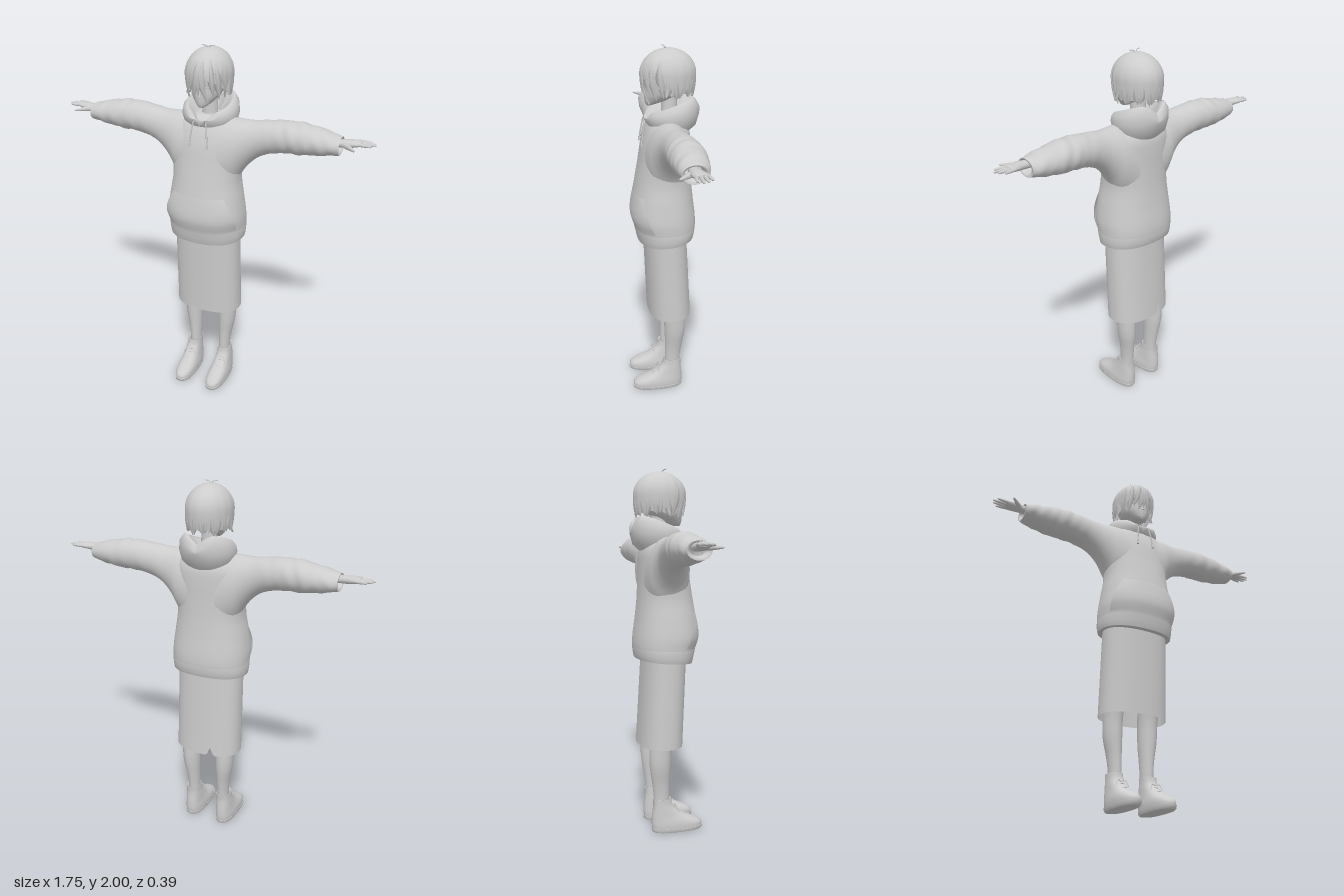
import * as THREE from 'three';

const grey = new THREE.MeshStandardMaterial({ color: 0xcccccc, side: THREE.DoubleSide });
grey.name = 'plain grey';

const TAU = Math.PI * 2;
const lerp = THREE.MathUtils.lerp;

function add(parent, name, geometry) {
  const m = new THREE.Mesh(geometry, grey);
  m.name = name;
  parent.add(m);
  return m;
}

// Skin a list of cross-sections; caps get their own vertices so rims stay sharp
function loft(rings, { closed = true, start = false, end = false } = {}) {
  const n = rings[0].length, pos = rings.flat(2), idx = [];
  const spans = closed ? n : n - 1;
  for (let i = 0; i < rings.length - 1; i++) for (let j = 0; j < spans; j++) {
    const a = i * n + j, b = i * n + (j + 1) % n;
    idx.push(a, a + n, b, b, a + n, b + n);
  }
  const cap = (ring, flip) => {
    const o = pos.length / 3;
    pos.push(...ring.flat());
    pos.push(...[0, 1, 2].map(k => ring.reduce((s, p) => s + p[k], 0) / n));
    for (let j = 0; j < n; j++) {
      const a = o + j, b = o + (j + 1) % n;
      flip ? idx.push(a, b, o + n) : idx.push(b, a, o + n);
    }
  };
  if (start) cap(rings[0], true);
  if (end) cap(rings[rings.length - 1], false);
  const g = new THREE.BufferGeometry();
  g.setAttribute('position', new THREE.Float32BufferAttribute(pos, 3));
  g.setIndex(idx);
  g.computeVertexNormals();
  return g;
}

const loop = (n, f) => Array.from({ length: n }, (_, j) => f(j / n * TAU, j));
const steps = (n, f) => Array.from({ length: n + 1 }, (_, i) => f(i / n));
const pw = (v, e) => Math.sign(v) * Math.abs(v) ** e;
// Level ring (around y) and upright ring (around x)
const ringY = (y, cx, cz, rx, rz, n = 24, e = 1) =>
  loop(n, t => [cx + rx * pw(Math.cos(t), e), y, cz + rz * pw(Math.sin(t), e)]);
const ringX = (x, cy, cz, ry, rz, n = 24) =>
  loop(n, t => [x, cy + ry * Math.cos(t), cz - rz * Math.sin(t)]);

// Smoothly read a table whose first column is the key
function sample(table, k) {
  let i = 0;
  while (i < table.length - 2 && k > table[i + 1][0]) i++;
  const p = table[Math.max(i - 1, 0)], a = table[i], b = table[i + 1], c = table[Math.min(i + 2, table.length - 1)];
  const h = b[0] - a[0], t = THREE.MathUtils.clamp((k - a[0]) / h, 0, 1);
  return a.map((v, j) => {
    const m0 = (b[j] - p[j]) / (b[0] - p[0]) * h, m1 = (c[j] - a[j]) / (c[0] - a[0]) * h;
    return (2 * t ** 3 - 3 * t * t + 1) * v + (t ** 3 - 2 * t * t + t) * m0 + (3 * t * t - 2 * t ** 3) * b[j] + (t ** 3 - t * t) * m1;
  });
}

function tube(points, r, seg = 16) {
  return new THREE.TubeGeometry(new THREE.CatmullRomCurve3(points.map(p => new THREE.Vector3(...p))), seg, r, 6);
}

// Sweater body: height, half width, front z, back z
const BODY = [[0.965, 0.207, 0.144, -0.16], [1.0, 0.212, 0.152, -0.166], [1.04, 0.215, 0.165, -0.172], [1.1, 0.216, 0.18, -0.17],
  [1.2, 0.203, 0.17, -0.157], [1.3, 0.188, 0.153, -0.147], [1.4, 0.19, 0.135, -0.142], [1.5, 0.195, 0.118, -0.14],
  [1.56, 0.19, 0.1, -0.135], [1.6, 0.17, 0.082, -0.12], [1.63, 0.135, 0.06, -0.1], [1.65, 0.09, 0.03, -0.08]];
function bodyPoint(t, y, out = 0) {
  const [, rx, zf, zb] = sample(BODY, y);
  const dip = -0.013 * Math.sin(t) * Math.max(0, 1 - (y - 0.965) / 0.12);
  return [(rx + out) * pw(Math.cos(t), 0.88), y + dip, (zf + zb) / 2 + ((zf - zb) / 2 + out) * pw(Math.sin(t), 0.88)];
}

// Sleeve: x, top y, bottom y, front z, back z
const SLEEVE = [[0.08, 1.64, 1.2, 0.118, -0.135], [0.16, 1.64, 1.29, 0.1, -0.126], [0.2, 1.638, 1.36, 0.084, -0.114], [0.25, 1.638, 1.42, 0.068, -0.104],
  [0.31, 1.645, 1.462, 0.06, -0.105], [0.41, 1.655, 1.488, 0.058, -0.115], [0.5, 1.655, 1.492, 0.058, -0.12],
  [0.6, 1.638, 1.503, 0.05, -0.115], [0.67, 1.622, 1.515, 0.042, -0.1], [0.705, 1.61, 1.522, 0.036, -0.088]];

function buildArm(side) {
  const arm = new THREE.Group();
  arm.name = side + 'Arm';
  const rings = steps(60, u => {
    const x = lerp(0.08, 0.705, u), [, top, bot, zf, zb] = sample(SLEEVE, x);
    const fold = x > 0.28 ? Math.min(1, (x - 0.28) * 6) * 0.02 : 0;
    return loop(28, t => {
      const k = 1 + fold * (Math.sin(x * 62 + 2 * Math.sin(t * 2 + 1)) + 0.7 * Math.sin(x * 97 + 3 * Math.cos(t)));
      return [x, (top + bot) / 2 + (top - bot) / 2 * k * Math.cos(t), (zf + zb) / 2 - (zf - zb) / 2 * k * Math.sin(t)];
    });
  });
  add(arm, 'sleeve', loft(rings));
  add(arm, 'cuffLining', loft([ringX(0.705, 1.566, -0.026, 0.044, 0.062), ringX(0.703, 1.57, -0.024, 0.034, 0.048), ringX(0.66, 1.572, -0.022, 0.03, 0.04)]));
  // Hand
  add(arm, 'palm', loft([[0.64, 1.582, -0.022, 0.021, 0.026], [0.71, 1.583, -0.022, 0.02, 0.026], [0.745, 1.586, -0.024, 0.021, 0.033],
    [0.785, 1.59, -0.033, 0.016, 0.038], [0.805, 1.591, -0.036, 0.01, 0.035]].map(a => ringX(...a, 14)), { start: true, end: true }));
  [[-0.009, -0.003, 0.858], [-0.028, -0.028, 0.876], [-0.046, -0.05, 0.868], [-0.062, -0.073, 0.845]].forEach(([z0, z1, tip]) =>
    add(arm, 'finger', loft([[0, 0.0095], [0.5, 0.0085], [0.88, 0.006], [1, 0.0015]].map(([u, r]) =>
      ringX(lerp(0.785, tip, u), 1.591, lerp(z0, z1, u), r, r, 8)), { end: true })));
  add(arm, 'thumb', loft([[0.725, -0.008, 0.015], [0.75, 0.018, 0.013], [0.77, 0.04, 0.009], [0.785, 0.056, 0.006], [0.79, 0.062, 0.0015]].map(([x, z, r]) =>
    loop(8, t => [x + r * Math.cos(t) * 0.8, 1.58 + r * Math.sin(t), z - r * Math.cos(t) * 0.6])), { end: true }));
  return arm;
}

function buildLeg(side) {
  const leg = new THREE.Group();
  leg.name = side + 'Leg';
  const LEG = [[0.14, 0.095, -0.04, 0.032, 0.042], [0.2, 0.095, -0.04, 0.032, 0.044], [0.28, 0.098, -0.045, 0.037, 0.049],
    [0.38, 0.105, -0.05, 0.048, 0.059], [0.49, 0.107, -0.047, 0.052, 0.062], [0.62, 0.107, -0.03, 0.06, 0.068]];
  add(leg, 'shin', loft(steps(20, u => ringY(...sample(LEG, lerp(0.14, 0.62, u)), 20)), { end: true }));
  // Ankle boot: height, half width, toe z, heel z
  const SHOE = [[0.018, 0.054, 0.192, -0.094], [0.04, 0.055, 0.192, -0.097], [0.06, 0.053, 0.168, -0.097], [0.08, 0.049, 0.12, -0.096],
    [0.1, 0.046, 0.08, -0.094], [0.13, 0.043, 0.042, -0.09], [0.16, 0.04, 0.02, -0.088], [0.19, 0.039, 0.014, -0.09]];
  const shoeRing = ([y, w, f, b], grow = 0) => ringY(y, 0.1, (f + b) / 2, w + grow, (f - b) / 2 + grow, 28, 0.8);
  add(leg, 'boot', loft(steps(18, u => shoeRing(sample(SHOE, lerp(0.018, 0.19, u))))));
  add(leg, 'bootCollar', loft([shoeRing(SHOE[7]), shoeRing(SHOE[7], -0.006), ringY(0.16, 0.095, -0.04, 0.03, 0.04, 28)]));
  add(leg, 'sole', loft([shoeRing([0, 0.05, 0.185, -0.09]), shoeRing([0.008, 0.055, 0.196, -0.096]), shoeRing([0.022, 0.056, 0.198, -0.097])], { start: true, end: true }));
  // Laces
  [0.1, 0.125].forEach(y => {
    const z = sample(SHOE, y)[2];
    add(leg, 'lace', tube([[0.075, y, z - 0.02], [0.1, y + 0.003, z], [0.125, y, z - 0.02]], 0.0025));
  });
  [-1, 1].forEach(s => add(leg, 'laceEnd', tube([[0.1, 0.14, 0.036], [0.1 + s * 0.02, 0.146, 0.042], [0.1 + s * 0.036, 0.115, 0.052]], 0.0022)));
  return leg;
}

// Point on the hair surface
function hairPoint(t, y, out = 0) {
  const d = (y - 1.862) / 0.126;
  const r = d > 0 ? Math.sqrt(Math.max(0, 1 - d * d)) : 1 - 0.14 * d * d;
  return [Math.cos(t) * (0.12 * r + out), y, -0.025 + Math.sin(t) * (0.144 * r + out)];
}

// Pointed lock of hair lying on the head
function strand(yTop, t0, t1, yTip, width, out = 0.002, flick = 0) {
  return loft(steps(14, u => {
    const y = lerp(yTop, yTip, u), t = lerp(t0, t1, u * u);
    const w = width * (u < 0.5 ? 0.7 + u * 0.6 : Math.max(0.02, 1 - ((u - 0.5) / 0.5) ** 1.6));
    const o = out * Math.min(1, u * 3) + flick * u ** 4;
    return [hairPoint(t - w, y, o - 0.003), hairPoint(t, y, o + 0.001), hairPoint(t + w, y, o - 0.003), hairPoint(t, y, o - 0.009)];
  }));
}

function buildHead() {
  const head = new THREE.Group();
  head.name = 'head';
  // Face: height, half width, front z, back z
  const FACE = [[1.7, 0.01, 0.088, 0.06], [1.71, 0.028, 0.094, 0.03], [1.73, 0.05, 0.098, -0.03], [1.76, 0.074, 0.1, -0.08],
    [1.8, 0.088, 0.1, -0.12], [1.85, 0.097, 0.104, -0.14], [1.92, 0.085, 0.085, -0.13]];
  add(head, 'face', loft(steps(22, u => {
    const [y, w, f, b] = sample(FACE, lerp(1.7, 1.92, u));
    return ringY(y, 0, (f + b) / 2, w, (f - b) / 2, 28);
  }), { start: true, end: true }));
  const nose = add(head, 'nose', new THREE.ConeGeometry(0.008, 0.028, 8));
  nose.position.set(0, 1.775, 0.1);
  add(head, 'mouth', tube([[-0.014, 1.735, 0.094], [0, 1.734, 0.098], [0.014, 1.735, 0.094]], 0.0012));
  [-1, 1].forEach(s => {
    add(head, 'eyelid', tube([[s * 0.02, 1.803, 0.097], [s * 0.04, 1.81, 0.09], [s * 0.06, 1.8, 0.074]], 0.002));
    const ear = add(head, 'ear', new THREE.SphereGeometry(0.02, 12, 10));
    ear.scale.set(0.5, 1.3, 0.9);
    ear.position.set(s * 0.09, 1.8, -0.03);
  });
  add(head, 'neck', loft([[1.58, 0.055, 0.05], [1.64, 0.042, 0.042], [1.76, 0.04, 0.042]].map(([y, a, b]) => ringY(y, 0, -0.03, a, b))));
  // Smooth hair cap with a lightly ragged edge
  add(head, 'hairCap', loft(steps(24, v => loop(96, t => {
    const low = 1.762 + 0.085 * Math.max(0, Math.sin(t)) ** 1.5 + 0.012 * Math.abs(Math.sin(t * 9));
    return hairPoint(t, lerp(low, 1.988, Math.sin(v * Math.PI / 2)), 0.001 * (1 - v) * Math.cos(t * 16));
  }))));
  // Fringe: start angle, tip angle, tip height, width
  [[0.45, 0.3, 1.75, 0.2], [0.8, 0.62, 1.742, 0.19], [1.05, 0.92, 1.765, 0.17], [1.55, 1.12, 1.712, 0.14], [1.45, 1.32, 1.775, 0.18],
    [1.6, 1.6, 1.768, 0.17], [1.65, 1.86, 1.75, 0.18], [1.85, 2.12, 1.775, 0.18], [2.2, 2.42, 1.742, 0.19], [2.6, 2.8, 1.75, 0.2]]
    .forEach(([a, b, y, w]) => add(head, 'fringeLock', strand(1.95, a, b, y, w)));
  // Tips around the sides and back
  loop(14, (_, i) => {
    const t = Math.PI * 0.96 + i / 13 * Math.PI * 1.08;
    add(head, 'hairTip', strand(1.84, t, t + (i % 2 ? 0.08 : -0.08), 1.745 + (i * 7 % 4) * 0.005, 0.17, 0.0015, i % 13 === 0 ? 0.018 : 0.002));
  });
  // Loose tuft on the crown
  [-1, 1].forEach(s => add(head, 'crownTuft', tube([[0, 1.982, -0.01], [s * 0.012, 1.994, -0.006], [s * 0.034, 1.997, 0]], 0.0028)));
  return head;
}

export function createModel() {
  const model = new THREE.Group();
  model.name = 'figure';

  // Hooded sweater
  const sweater = new THREE.Group();
  sweater.name = 'sweater';
  model.add(sweater);
  add(sweater, 'body', loft(steps(50, u => loop(56, t => bodyPoint(t, lerp(0.968, 1.65, u)))), { start: true, end: true }));
  add(sweater, 'hemBand', loft([[0.968, -0.002], [0.968, 0.003], [1.0, 0.003], [1.03, 0.001], [1.045, -0.002]].map(([y, out]) =>
    loop(56, t => bodyPoint(t, y, out)))));
  // Front pocket, narrower at the top and open at the sides
  add(sweater, 'frontPocket', loft(steps(16, u => steps(30, v => {
    const y = lerp(1.045, 1.235, u), half = lerp(1.16, 0.78, u ** 1.3), s = v * 2 - 1;
    const puff = 0.013 * Math.sin(u * Math.PI) * (0.25 + 0.75 * s * s);
    return bodyPoint(Math.PI / 2 - half * s, y, puff);
  })), { closed: false }));
  // Hood: low at the front, folded down behind. Half width, front y, back y, front z, back z
  const HOOD = [[0.12, 1.6, 1.555, 0.085, -0.12], [0.142, 1.62, 1.6, 0.1, -0.172], [0.152, 1.64, 1.66, 0.104, -0.188], [0.145, 1.656, 1.72, 0.102, -0.19],
    [0.122, 1.668, 1.757, 0.094, -0.17], [0.102, 1.662, 1.74, 0.08, -0.145], [0.055, 1.615, 1.65, 0.03, -0.085]];
  add(sweater, 'hood', loft(HOOD.map(([w, yf, yb, zf, zb], i) => loop(64, t => {
    const f = (1 + Math.sin(t)) / 2, notch = i > 2 ? 0.05 * Math.max(0, 1 - Math.abs(Math.cos(t)) / 0.6) : 0;
    return [w * Math.cos(t), lerp(yb, yf, f ** 1.2) - notch, lerp(zb, zf, f)];
  }))));
  [-1, 1].forEach(s => {
    add(sweater, 'drawstring', tube([[s * 0.034, 1.63, 0.102], [s * 0.04, 1.6, 0.107], [s * 0.046, 1.55, 0.116], [s * 0.05, 1.515, 0.12]], 0.004));
    const knot = add(sweater, 'drawstringEnd', new THREE.CylinderGeometry(0.005, 0.007, 0.025, 8));
    knot.position.set(s * 0.05, 1.51, 0.121);
  });

  // Long skirt with a slit behind and a small one in front
  add(model, 'skirt', loft(steps(16, u => loop(96, t => {
    const c = Math.cos(t), near = Math.max(0, 1 - Math.abs(c + 0.26) / 0.1);
    const y = lerp(0.49 + near * (Math.sin(t) > 0 ? 0.025 : 0.05), 1.0, u);
    const k = (y - 0.49) / 0.51, zf = lerp(0.092, 0.112, k), zb = lerp(-0.152, -0.122, k);
    return [lerp(0.19, 0.186, k) * pw(c, 0.85), y, (zf + zb) / 2 + (zf - zb) / 2 * pw(Math.sin(t), 0.85)];
  }))));

  // Limbs, the right ones mirrored
  [['left', 1], ['right', -1]].forEach(([side, s]) => [buildArm(side), buildLeg(side)].forEach(limb => {
    limb.scale.x = s;
    model.add(limb);
  }));
  model.add(buildHead());
  return model;
}
